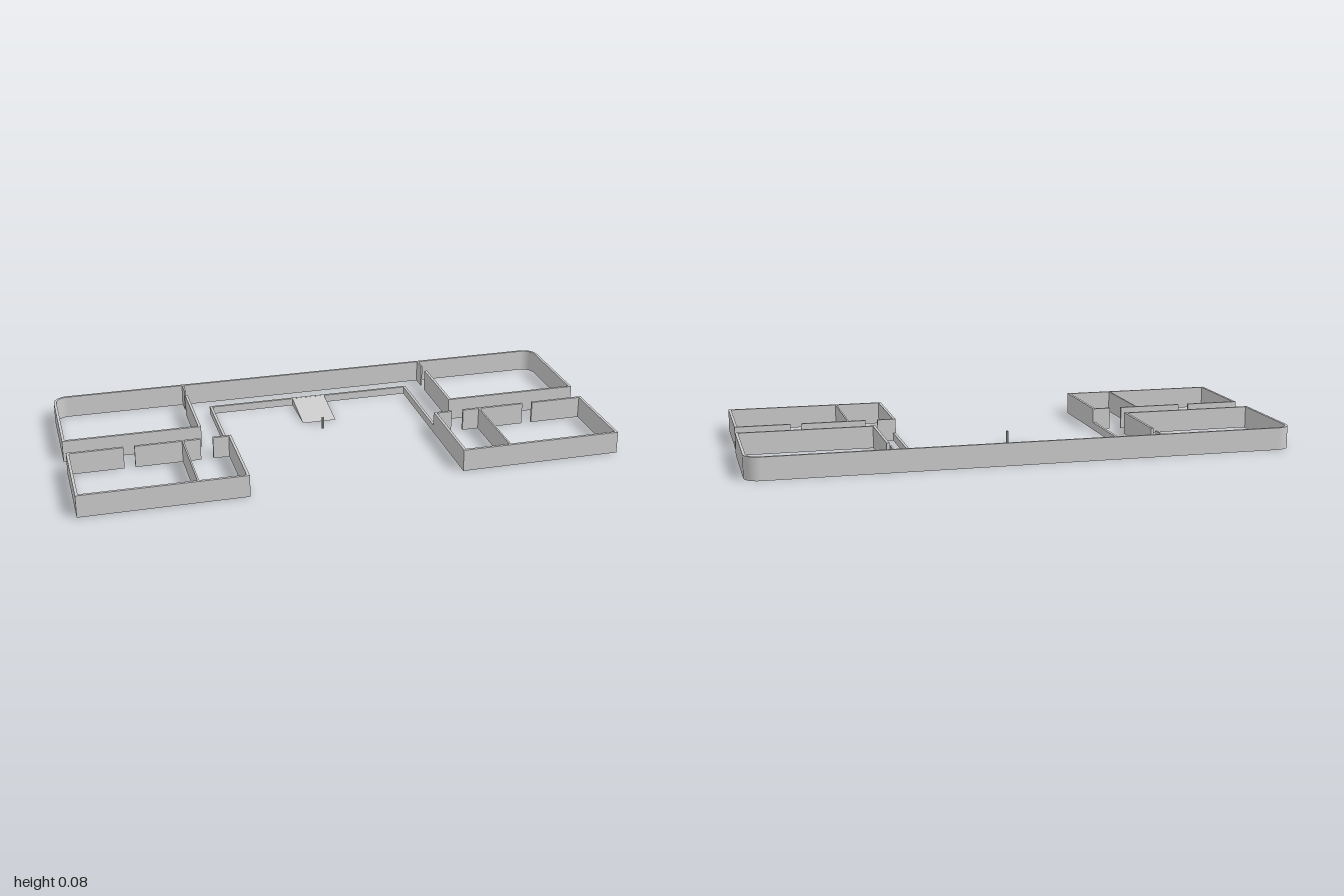
import * as THREE from 'three';

const H = 0.083;   // full wall height
const LOW = 0.029; // low courtyard wall height
const T = 0.01;    // outer wall thickness
const THIN = 0.006; // partition thickness

export function createModel() {
  const model = new THREE.Group();
  const mat = new THREE.MeshStandardMaterial({ color: 0xcccccc, flatShading: true });

  const add = (parent, name, geometry) => {
    const mesh = new THREE.Mesh(geometry, mat);
    mesh.name = name;
    parent.add(mesh);
    return mesh;
  };

  // Straight wall whose plan is the rectangle x1..x2, z1..z2
  const wall = (parent, name, x1, x2, z1, z2, h = H) => {
    const mesh = add(parent, name, new THREE.BoxGeometry(Math.abs(x2 - x1), h, Math.abs(z2 - z1)));
    mesh.position.set((x1 + x2) / 2, h / 2, (z1 + z2) / 2);
  };

  // Back shell: one U-shaped wall with rounded rear corners (plan drawn as x, -z)
  const front = 0.015, back = 0.425, r = 0.055;
  const shell = new THREE.Shape();
  shell.moveTo(-1, front);
  shell.lineTo(-1, back - r);
  shell.absarc(-1 + r, back - r, r, Math.PI, Math.PI / 2, true);
  shell.lineTo(1 - r, back);
  shell.absarc(1 - r, back - r, r, Math.PI / 2, 0, true);
  shell.lineTo(1, front);
  shell.lineTo(1 - T, front);
  shell.lineTo(1 - T, back - r);
  shell.absarc(1 - r, back - r, r - T, 0, Math.PI / 2, false);
  shell.lineTo(-1 + r, back - T);
  shell.absarc(-1 + r, back - r, r - T, Math.PI / 2, Math.PI, false);
  shell.lineTo(-1 + T, front);
  const shellGeo = new THREE.ExtrudeGeometry(shell, { depth: H, bevelEnabled: false, curveSegments: 8 });
  shellGeo.rotateX(-Math.PI / 2);
  add(model, 'backShellWall', shellGeo);

  // Both wings, mirrored in x
  for (const s of [-1, 1]) {
    const wing = new THREE.Group();
    wing.name = s > 0 ? 'leftWing' : 'rightWing';
    model.add(wing);
    const w = (name, x1, x2, z1, z2, h) => wall(wing, name, s * x1, s * x2, z1, z2, h);

    // Back room, with a doorway near the rear
    w('backRoomFrontWall', 0.487, 1 - T, -0.025, -0.015);
    w('backRoomInnerWall', 0.487, 0.487 + T, -0.315, -0.025);
    w('backRoomDoorJamb', 0.487, 0.487 + THIN, -0.415, -0.36);

    // Front block: two rooms with doorways onto the passage
    w('frontRoomOuterWall', 0.985, 0.995, 0.083, 0.425);
    w('frontRoomFrontWall', 0.403, 0.985, 0.415, 0.425);
    w('frontRoomInnerWall', 0.393, 0.403, 0.083, 0.425);
    w('frontRoomPartition', 0.57, 0.57 + THIN, 0.093, 0.415);
    for (const [a, b] of [[0.403, 0.462], [0.508, 0.75], [0.79, 0.985]]) {
      w('passageWall', a, b, 0.083, 0.093);
    }

    // Low wall along the courtyard side
    w('courtyardSideWall', 0.393, 0.403, -0.308, 0.083, LOW);
  }
  wall(model, 'courtyardBackWall', -0.393, 0.393, -0.308, -0.298, LOW);

  // Wedge ramp falling from the courtyard back wall (side profile drawn as z, y)
  const profile = new THREE.Shape();
  profile.moveTo(-0.3, 0);
  profile.lineTo(-0.122, 0);
  profile.lineTo(-0.3, LOW);
  const rampGeo = new THREE.ExtrudeGeometry(profile, { depth: 0.13, bevelEnabled: false });
  rampGeo.rotateY(-Math.PI / 2);
  add(model, 'ramp', rampGeo).position.x = 0.06;

  // Small post standing in front of the ramp
  const post = add(model, 'post', new THREE.CylinderGeometry(0.005, 0.005, 0.045, 10));
  post.position.set(-0.007, 0.0225, -0.06);

  return model;
}
